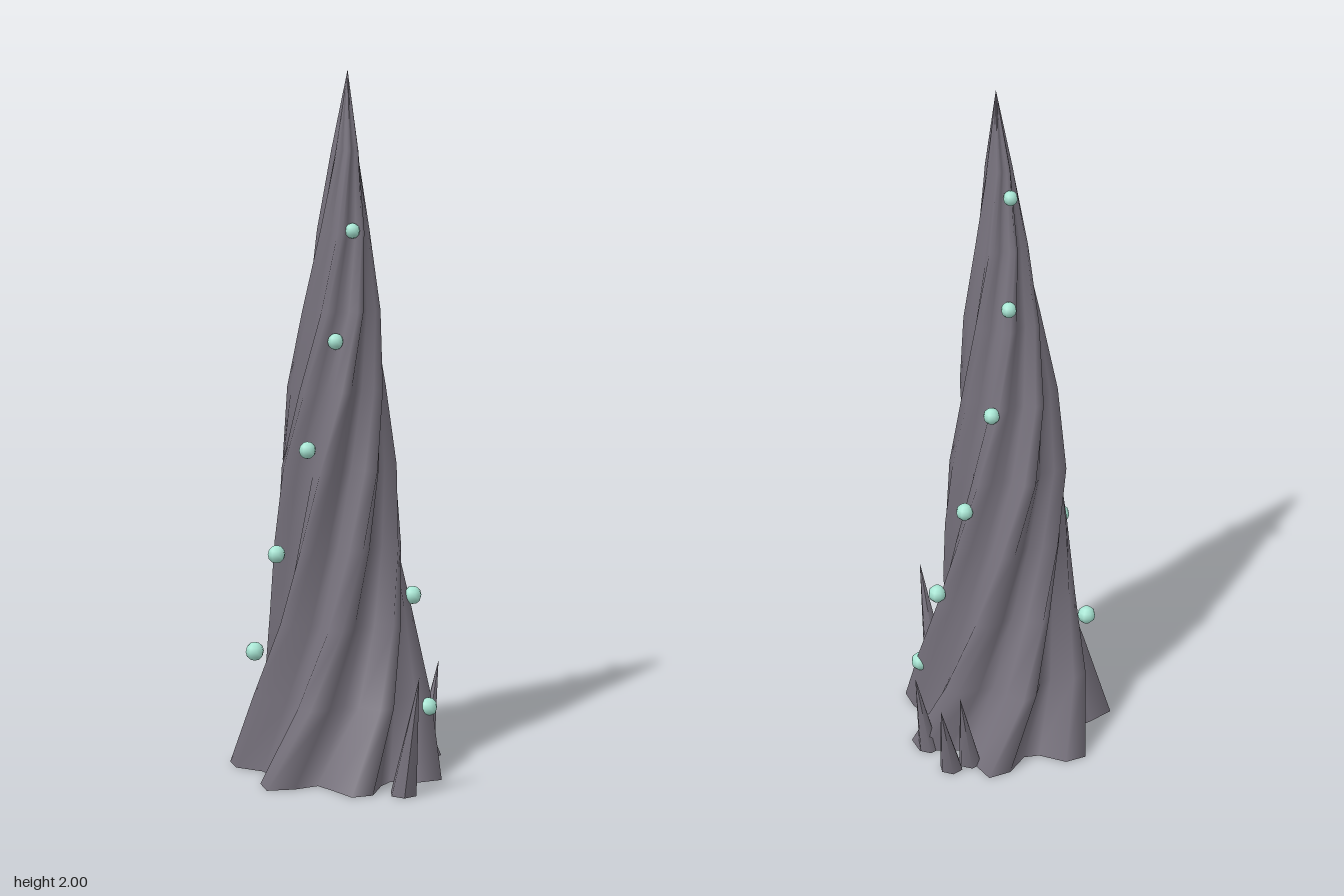
import * as THREE from 'three';

const HEIGHT = 2, SIDES = 32, RIDGES = 7, TWIST = Math.PI;
// outer radius and centre drift of each ring, bottom to tip
const RADII = [0.327, 0.262, 0.212, 0.189, 0.175, 0.145, 0.112, 0.076, 0.04, 0];
const CENTRE_X = [-0.025, -0.025, -0.022, -0.025, -0.028, -0.02, -0.006, 0.003, 0.012, 0.02];
const CENTRE_Z = [0.028, 0.026, 0.028, 0.034, 0.042, 0.05, 0.056, 0.062, 0.066, 0.066];
const RINGS = RADII.length - 1;

// point on the ridged, twisted surface
function spirePoint(ring, side) {
  const t = ring / RINGS;
  const a = (side / SIDES) * Math.PI * 2;
  const amp = 0.2 - 0.07 * t;
  const r = (RADII[ring] * (1 + amp * Math.cos(RIDGES * a))) / (1 + amp);
  const turned = a - TWIST * t;
  return [CENTRE_X[ring] + r * Math.cos(turned), t * HEIGHT, CENTRE_Z[ring] + r * Math.sin(turned)];
}

function spireGeometry() {
  const pos = [], index = [];
  for (let j = 0; j <= RINGS; j++) {
    for (let i = 0; i < SIDES; i++) {
      pos.push(...spirePoint(j, i));
      if (j === RINGS) continue;
      const a = j * SIDES + i, b = j * SIDES + ((i + 1) % SIDES);
      index.push(a, a + SIDES, b);
      if (j < RINGS - 1) index.push(b, a + SIDES, b + SIDES);
    }
  }
  const g = new THREE.BufferGeometry();
  g.setAttribute('position', new THREE.Float32BufferAttribute(pos, 3));
  g.setIndex(index);
  g.computeVertexNormals();
  return g;
}

// star-shaped underside, following the bottom ring
function baseGeometry() {
  const g = new THREE.CircleGeometry(1, SIDES).rotateX(Math.PI / 2);
  const p = g.attributes.position;
  p.setXYZ(0, CENTRE_X[0], 0, CENTRE_Z[0]);
  for (let i = 0; i <= SIDES; i++) p.setXYZ(i + 1, ...spirePoint(0, i));
  return g;
}

// six-sided cone whose tip leans by (dx, dz)
function spikeGeometry(radius, height, dx, dz) {
  const g = new THREE.ConeGeometry(radius, height, 6).translate(0, height / 2, 0);
  g.rotateY(Math.PI / 6);
  const p = g.attributes.position;
  for (let i = 0; i < p.count; i++) {
    const t = p.getY(i) / height;
    p.setX(i, p.getX(i) + dx * t);
    p.setZ(i, p.getZ(i) + dz * t);
  }
  g.computeVertexNormals();
  return g;
}

export function createModel() {
  const group = new THREE.Group();
  const rock = new THREE.MeshStandardMaterial({ color: 0x77727d });
  const glow = new THREE.MeshStandardMaterial({ color: 0xa8e6d4 });
  const add = (name, geometry, material) => {
    const mesh = new THREE.Mesh(geometry, material);
    mesh.name = name;
    group.add(mesh);
    return mesh;
  };

  add('spire', spireGeometry(), rock);
  add('spireBase', baseGeometry(), rock);

  // small spikes around the foot: x, z, radius, height, lean x, lean z
  const spikes = [
    [0.265, 0.197, 0.04, 0.35, 0.065, 0.037],
    [0.035, -0.28, 0.035, 0.25, 0.002, -0.075],
    [-0.008, -0.235, 0.035, 0.27, 0.004, -0.07],
    [0.133, -0.208, 0.032, 0.27, 0.024, -0.042],
  ];
  for (const [x, z, r, h, dx, dz] of spikes) {
    add('spike', spikeGeometry(r, h, dx, dz), rock).position.set(x, 0, z);
  }

  // beads climbing in two spirals, alternating sides
  const beads = [
    [0.222, -0.045], [-0.242, 0.145], [0.135, -0.12], [-0.14, 0.195], [0.042, -0.135], [-0.042, 0.19],
    [-0.027, -0.1], [0.026, 0.15], [-0.055, -0.037], [0.054, 0.102], [-0.037, 0.025],
  ];
  beads.forEach(([x, z], i) => {
    const radius = 0.028 - 0.0007 * i;
    add('bead', new THREE.SphereGeometry(radius, 8, 6), glow).position.set(x, 0.186 + 0.1525 * i, z);
  });
  return group;
}
